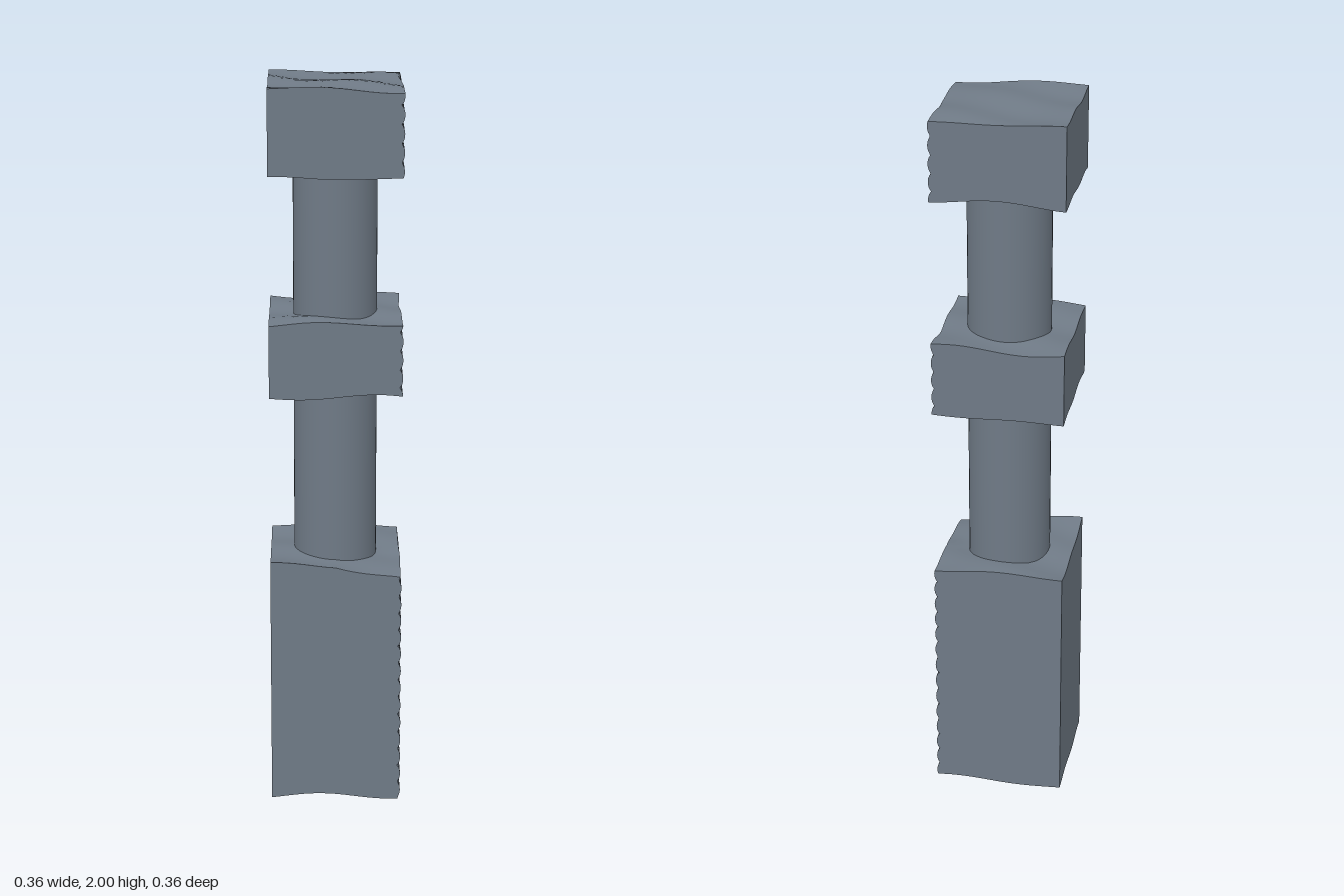
import * as THREE from 'three';
import { toCreasedNormals } from 'three/addons/utils/BufferGeometryUtils.js';

const HALF = 0.179;

// Gentle unevenness of a broken or worn stone surface
const ripple = (x, z, seed) =>
  0.005 * Math.sin(17 * x + 9 * z + seed) + 0.004 * Math.sin(31 * z - 13 * x + seed * 2.3);

// Rounded ridges with narrow valleys, running along z on the +x side
function grooveDepth(y, z, seed) {
  const wobble = 0.005 * Math.sin(19 * z + seed + 3 * y) + 0.003 * Math.sin(37 * z + 11 * y);
  const ridge = Math.abs(Math.sin((Math.PI * (y + wobble)) / 0.05));
  return 0.011 * (1 - Math.sqrt(ridge));
}

// Square block with uneven ends and one grooved side
function stoneBlock(bottom, top, seed, rows) {
  const geometry = new THREE.BoxGeometry(2 * HALF, 1, 2 * HALF, 16, rows, 16);
  const p = geometry.attributes.position;
  for (let i = 0; i < p.count; i++) {
    const x = p.getX(i), z = p.getZ(i), t = p.getY(i) + 0.5;
    const y = THREE.MathUtils.lerp(bottom(x, z), top(x, z), t);
    p.setY(i, y);
    if (x > HALF - 1e-4) p.setX(i, 0.18 - grooveDepth(y, z, seed));
  }
  return toCreasedNormals(geometry, 0.7);
}

export function createModel() {
  const model = new THREE.Group();
  model.name = 'stonePillar';
  const stone = new THREE.MeshStandardMaterial({ color: 0x6f7a86 });
  stone.name = 'slateGrey';

  const add = (name, geometry) => {
    const mesh = new THREE.Mesh(geometry, stone);
    mesh.name = name;
    model.add(mesh);
    return mesh;
  };

  // Base block, its top chipped away at the front left corner
  const chip = (x, z) => 0.04 * Math.max(0, x / HALF) * Math.max(0, z / HALF);
  add('baseBlock', stoneBlock(
    (x, z) => 0.008 + ripple(x, z, 0.6),
    (x, z) => 0.695 + ripple(x, z, 2.6) - chip(x, z) - 0.008 * Math.cos(8 * z),
    0.4, 98));

  // Middle block
  add('middleBlock', stoneBlock(
    (x, z) => 1.167 + ripple(x, z, 4.1),
    (x, z) => 1.368 + ripple(x, z, 1.2),
    1.7, 32));

  // Top block, its underside dipping towards the front
  add('topBlock', stoneBlock(
    (x, z) => 1.768 - 0.01 * (z / HALF) + ripple(x, z, 3.3),
    (x, z) => 1.991 - 0.003 * (x / HALF) + ripple(x, z, 0.2),
    3.1, 36));

  // Round shaft through all blocks
  const shaft = add('shaft', new THREE.CylinderGeometry(0.114, 0.114, 1.2, 48));
  shaft.position.y = 1.23;

  return model;
}
